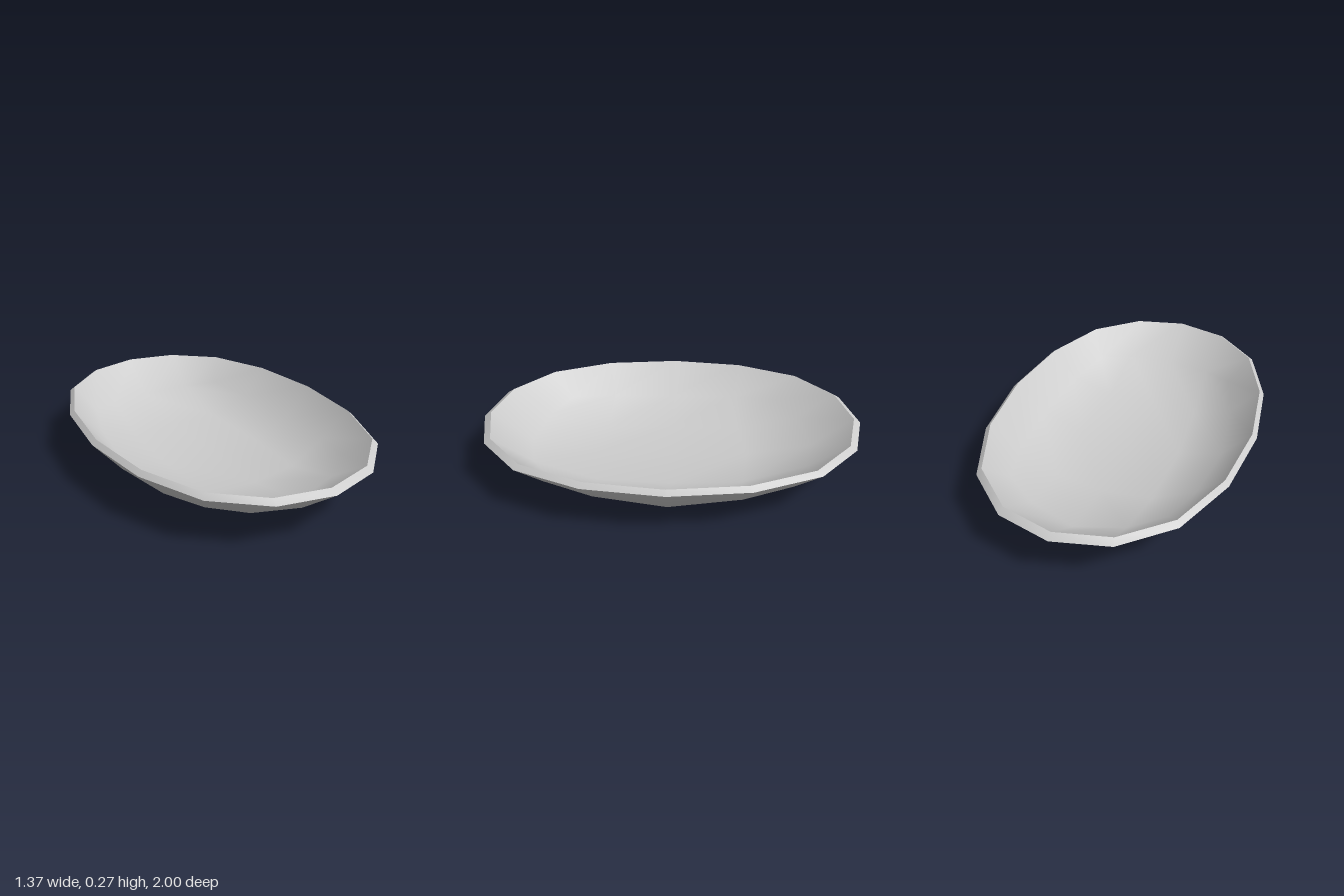
import * as THREE from 'three';

const RADIUS = 0.685, STRETCH = 1.46, RIM_Y = 0.25, THICKNESS = 0.033;

// [larger coordinate, smaller coordinate, height] of the rounded 4 x 4 base grid,
// keyed by the larger and smaller grid step away from the centre
const BASE = {
  '00': [0, 0, 0], '10': [0.42, 0, 0.001], '11': [0.39, 0.39, 0.005],
  '20': [0.78, 0, 0.075], '21': [0.723, 0.365, 0.1], '22': [0.615, 0.615, 0.13],
};
const RIM = { '20': [1, 0, RIM_Y], '21': [0.933, 0.399, RIM_Y], '22': [0.732, 0.732, RIM_Y] };

// Place grid point (i, j) using the eightfold symmetry of the table
function place(table, i, j) {
  const a = Math.abs(i), b = Math.abs(j);
  const [big, small, y] = table[`${Math.max(a, b)}${Math.min(a, b)}`];
  const x = Math.sign(i) * (a >= b ? big : small);
  const z = Math.sign(j) * (a >= b ? small : big);
  return [x * RADIUS, y, z * RADIUS];
}

function makeGeometry(points, index) {
  const geometry = new THREE.BufferGeometry();
  geometry.setAttribute('position', new THREE.Float32BufferAttribute(points.flat(), 3));
  geometry.setIndex(index);
  geometry.computeVertexNormals();
  return geometry;
}

export function createModel() {
  const group = new THREE.Group();
  group.name = 'ovalDish';
  const material = new THREE.MeshStandardMaterial({ color: 0xcccccc });
  const points = [], index = [], edge = [];

  // Rounded base grid
  for (let j = -2; j <= 2; j++) {
    for (let i = -2; i <= 2; i++) {
      const k = points.length;
      points.push(place(BASE, i, j));
      if (Math.max(Math.abs(i), Math.abs(j)) === 2) edge.push({ i, j, k });
      if (i < 2 && j < 2) index.push(k, k + 1, k + 6, k, k + 6, k + 5);
    }
  }

  // Sloping wall from the edge of the base up to the rim
  edge.sort((p, q) => Math.atan2(p.j, p.i) - Math.atan2(q.j, q.i));
  const n = edge.length, first = points.length;
  edge.forEach((p, s) => {
    const next = (s + 1) % n;
    points.push(place(RIM, p.i, p.j));
    index.push(p.k, first + s, first + next, p.k, first + next, edge[next].k);
  });
  const outer = makeGeometry(points, index);

  // Inner shell, offset along the outer normals and turned inside out
  const normal = outer.attributes.normal;
  const innerPoints = points.map(([x, y, z], k) => [
    x - normal.getX(k) * THICKNESS,
    y - normal.getY(k) * THICKNESS,
    z - normal.getZ(k) * THICKNESS,
  ]);
  const inner = makeGeometry(innerPoints, [...index].reverse());

  // Bevelled lip joining both shells
  const lipIndex = [];
  for (let s = 0; s < n; s++) {
    const t = (s + 1) % n;
    lipIndex.push(s, n + s, n + t, s, n + t, t);
  }
  const lip = makeGeometry([...points.slice(first), ...innerPoints.slice(first)], lipIndex);

  // Stretch the round dish into an oval
  for (const [name, geometry] of Object.entries({ outerShell: outer, innerShell: inner, rimLip: lip })) {
    geometry.scale(1, 1, STRETCH);
    geometry.computeVertexNormals();
    const mesh = new THREE.Mesh(geometry, material);
    mesh.name = name;
    group.add(mesh);
  }
  return group;
}
